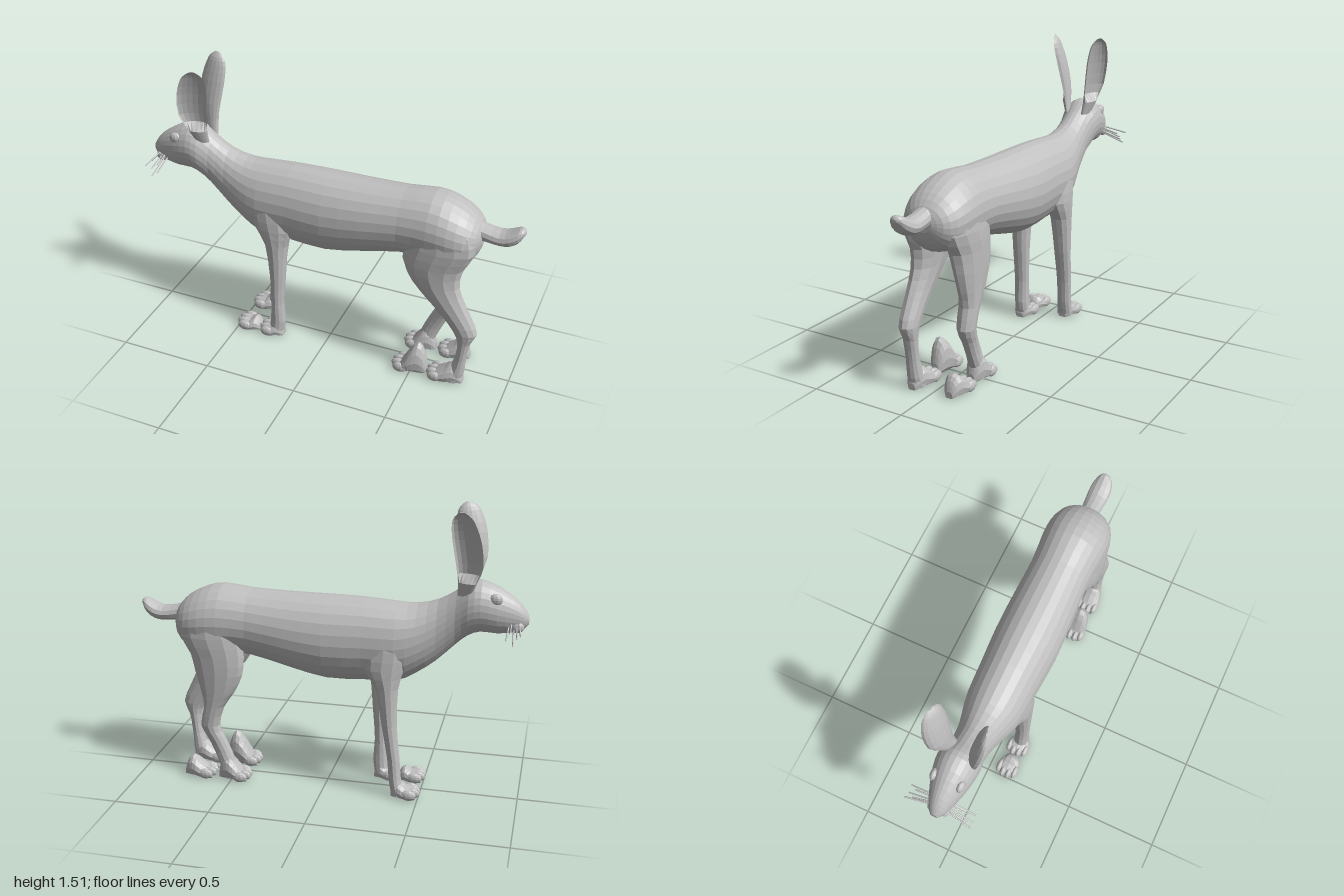
import * as THREE from 'three';

const fur = new THREE.MeshStandardMaterial({ color: 0xc0c0c0, flatShading: true });
fur.name = 'light grey';

// Smoothly resample rows of section numbers.
function resample(rows, steps) {
  const curve = new THREE.CubicInterpolant(rows.map((_, i) => i), rows.flat(), rows[0].length);
  const n = (rows.length - 1) * steps;
  return Array.from({ length: n + 1 }, (_, i) => [...curve.evaluate(i / steps)]);
}

// Skin a list of rings, close both ends and face outward.
function loft(name, rings) {
  const m = rings[0].length, pos = [], idx = [];
  rings.forEach(r => r.forEach(p => pos.push(p.x, p.y, p.z)));
  for (let i = 0; i < rings.length - 1; i++) {
    for (let j = 0; j < m; j++) {
      const a = i * m + j, b = i * m + (j + 1) % m;
      idx.push(a, b, a + m, b, b + m, a + m);
    }
  }
  [0, rings.length - 1].forEach((ri, end) => {
    const c = rings[ri].reduce((s, p) => s.add(p), new THREE.Vector3()).divideScalar(m);
    const k = pos.length / 3;
    pos.push(c.x, c.y, c.z);
    for (let j = 0; j < m; j++) {
      const a = ri * m + j, b = ri * m + (j + 1) % m;
      end ? idx.push(a, b, k) : idx.push(b, a, k);
    }
  });
  const pt = i => new THREE.Vector3().fromArray(pos, i * 3);
  let volume = 0;
  for (let i = 0; i < idx.length; i += 3) volume += pt(idx[i]).dot(pt(idx[i + 1]).cross(pt(idx[i + 2])));
  if (volume < 0) idx.reverse();
  const g = new THREE.BufferGeometry();
  g.setAttribute('position', new THREE.Float32BufferAttribute(pos, 3));
  g.setIndex(idx);
  g.computeVertexNormals();
  const mesh = new THREE.Mesh(g, fur);
  mesh.name = name;
  return mesh;
}

const around = (n, f) => Array.from({ length: n }, (_, j) => f(Math.cos(j / n * Math.PI * 2), Math.sin(j / n * Math.PI * 2)));

// Upright sections along x: [x, top, bottom, half width]
const alongX = (name, rows, sides) => loft(name, resample(rows, 2).map(([x, t, b, w]) =>
  around(sides, (c, s) => new THREE.Vector3(x, (t + b) / 2 + c * (t - b) / 2, s * w))));

// Level sections down a leg: [y, x min, x max, z, half depth]
const leg = (name, rows, side) => loft(name, resample(rows, 2).map(([y, x0, x1, z, r]) =>
  around(12, (c, s) => new THREE.Vector3((x0 + x1) / 2 + c * (x1 - x0) / 2, y, side * (z + s * r)))));

function blob(name, x, y, z, rx, ry, rz) {
  const mesh = new THREE.Mesh(new THREE.SphereGeometry(1, 10, 8), fur);
  mesh.name = name;
  mesh.position.set(x, y, z);
  mesh.scale.set(rx, ry, rz);
  return mesh;
}

// Paw pointing toward -x, with a flat sole and four toes.
function paw(name, x0, x1, z, height) {
  const group = new THREE.Group(), len = x1 - x0;
  group.name = name;
  const rows = [[0, .035, .045], [.2, .06, .058], [.45, height * .75, .06], [.7, height, .05], [.9, height * .75, .036], [1, height * .35, .02]];
  group.add(loft('pawPad', resample(rows, 2).map(([t, h, w]) => around(12, (c, s) =>
    new THREE.Vector3(x0 + .02 + t * (len - .02), Math.max(.008, h * (.45 + .55 * c)), z + s * w)))));
  [-.046, -.016, .016, .046].forEach((dz, i) => {
    const inner = i === 1 || i === 2;
    group.add(blob('toe', x0 + (inner ? .04 : .055), .033, z + dz, .04, .028, .018));
  });
  return group;
}

// Cupped ear opening outward: [y, x, z, half width]
function ear(name, side) {
  const rows = [[1.09, -.685, .055, .035], [1.16, -.70, .073, .05], [1.25, -.71, .095, .073],
    [1.37, -.695, .117, .078], [1.45, -.68, .13, .066], [1.49, -.675, .135, .046], [1.512, -.672, .137, .014]];
  return loft(name, resample(rows, 2).map(([y, x, z, w], i) => around(16, (c, s) => {
    const cup = i < 3 ? .4 : -.45;
    const u = c * w, v = (s > 0 ? s * cup : s * .5) * w;
    return new THREE.Vector3(x + u * .92 + v * .38, y, side * (z - u * .3 + v * .92));
  })));
}

export function createModel() {
  const hare = new THREE.Group();
  hare.name = 'hare';

  // Head, neck and trunk in one skin
  hare.add(alongX('body', [
    [-1, .995, .955, .018], [-.975, 1.035, .925, .04], [-.93, 1.08, .908, .06], [-.85, 1.13, .898, .088],
    [-.77, 1.16, .902, .105], [-.71, 1.15, .878, .105], [-.65, 1.105, .825, .092], [-.56, 1.05, .735, .1],
    [-.46, 1.022, .66, .128], [-.36, 1.022, .61, .15], [-.2, 1.032, .603, .158], [0, 1.034, .597, .17],
    [.2, 1.034, .64, .166], [.4, 1.04, .688, .157], [.55, 1.055, .69, .168], [.65, 1.033, .695, .168],
    [.73, .99, .71, .148], [.78, .94, .76, .105], [.8, .9, .82, .05]], 24));

  hare.add(alongX('tail', [[.74, .95, .85, .05], [.8, .93, .843, .05], [.88, .916, .837, .056],
    [.93, .93, .845, .056], [.97, .951, .87, .045], [.99, .95, .905, .028], [1, .938, .922, .01]], 12));

  // Hind legs, staggered in stride
  hare.add(leg('leftHindLeg', [[.98, .55, .7, .08, .03], [.9, .47, .77, .095, .06], [.8, .44, .785, .1, .07], [.7, .425, .735, .1, .07],
    [.6, .475, .727, .105, .062], [.5, .57, .765, .108, .054], [.42, .65, .803, .108, .05], [.34, .71, .834, .106, .046],
    [.27, .738, .805, .104, .038], [.16, .73, .79, .102, .035], [.07, .7, .785, .1, .042], [.015, .68, .77, .1, .045]], 1));
  hare.add(leg('rightHindLeg', [[.98, .53, .68, .08, .03], [.9, .46, .75, .095, .06], [.8, .43, .765, .1, .07], [.7, .42, .71, .1, .07],
    [.6, .43, .685, .105, .062], [.5, .475, .658, .108, .054], [.42, .53, .642, .108, .05], [.31, .56, .664, .106, .046],
    [.24, .535, .63, .104, .038], [.16, .5, .595, .102, .035], [.07, .47, .56, .1, .042], [.015, .46, .55, .1, .045]], -1));

  // Front legs
  hare.add(leg('leftFrontLeg', [[.9, -.36, -.24, .1, .035], [.8, -.4, -.19, .1, .055], [.7, -.385, -.17, .1, .062], [.6, -.325, -.2, .103, .056],
    [.4, -.302, -.218, .105, .046], [.22, -.3, -.232, .104, .04], [.1, -.31, -.225, .102, .04], [.015, -.32, -.24, .1, .045]], 1));
  hare.add(leg('rightFrontLeg', [[.9, -.38, -.26, .1, .035], [.8, -.42, -.21, .1, .055], [.7, -.41, -.2, .1, .062], [.6, -.385, -.265, .103, .056],
    [.4, -.382, -.303, .105, .046], [.22, -.4, -.335, .104, .04], [.1, -.41, -.345, .102, .04], [.015, -.43, -.36, .1, .045]], -1));

  // Paws under the legs, then the loose paws beside them
  hare.add(paw('leftHindPaw', .585, .78, .1, .12), paw('rightHindPaw', .395, .57, -.1, .15));
  hare.add(paw('leftFrontPaw', -.375, -.235, .1, .09), paw('rightFrontPaw', -.51, -.36, -.1, .09));
  hare.add(paw('looseLeftHindPaw', .395, .585, .1, .19), paw('looseRightHindPaw', .585, .76, -.1, .12));
  hare.add(paw('looseLeftFrontPaw', -.51, -.365, .1, .08));

  // Ears, eyes and whiskers
  [['left', 1], ['right', -1]].forEach(([word, side]) => {
    hare.add(ear(word + 'Ear', side));
    hare.add(blob(word + 'Eye', -.84, 1.085, side * .068, .034, .03, .02));
    hare.add(blob(word + 'Cheek', -.945, .945, side * .036, .035, .03, .022));
    for (let i = 0; i < 5; i++) {
      const from = new THREE.Vector3(-.955 + i * .012, .965 - (i % 3) * .015, side * .045);
      const to = new THREE.Vector3(-.972 + i * .017, .94 - (i % 3) * .025, side * (.172 - (i % 2) * .03));
      const whisker = new THREE.Mesh(new THREE.TubeGeometry(new THREE.LineCurve3(from, to), 1, .004, 5), fur);
      whisker.name = word + 'Whisker';
      hare.add(whisker);
    }
  });
  return hare;
}
